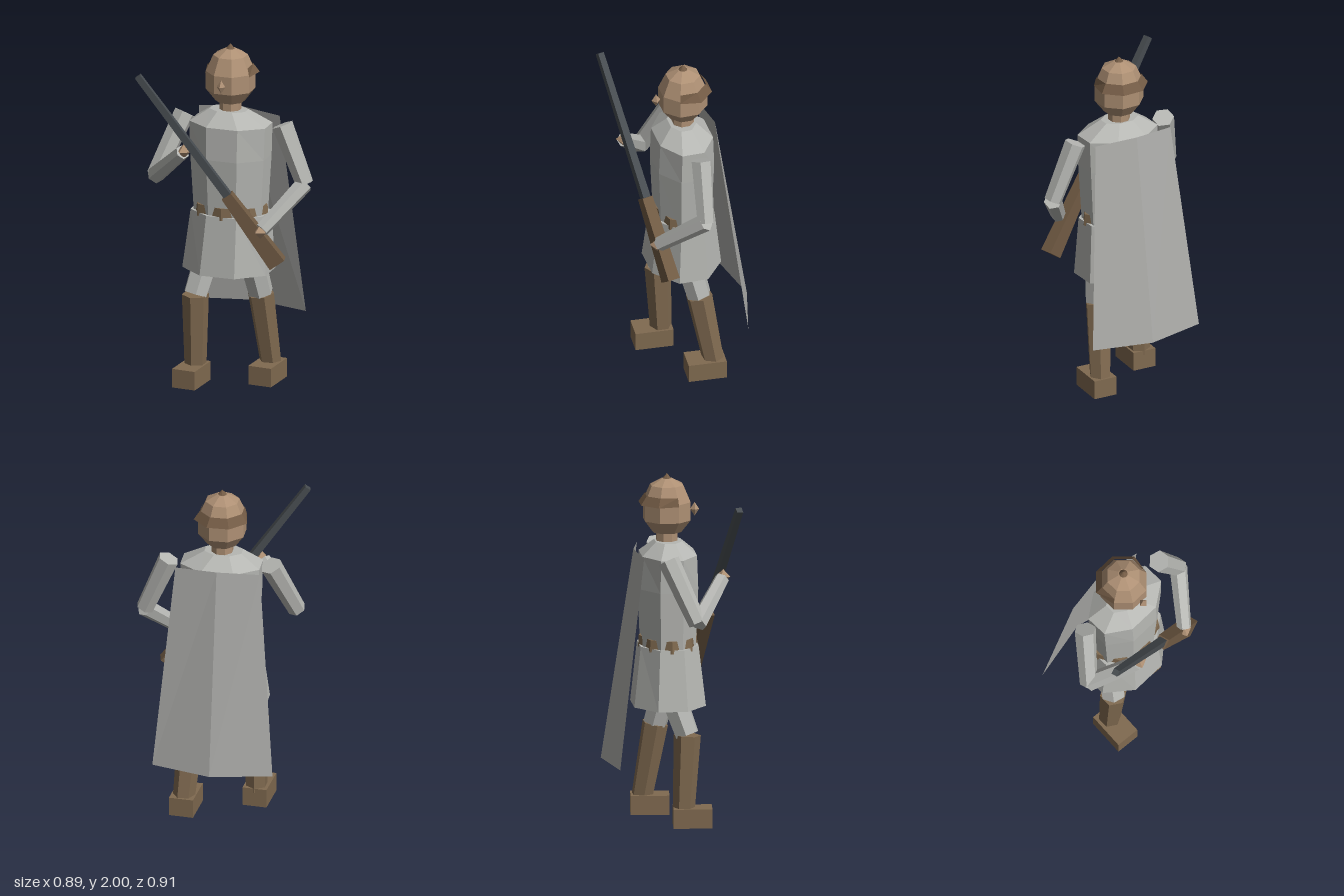
import * as THREE from 'three';

const YAW = 0.38; // the body is turned towards its own left
const V = (x, y, z) => new THREE.Vector3(x, y, z);

function material(name, color, doubleSided = false) {
  const m = new THREE.MeshStandardMaterial({ color });
  m.name = name;
  if (doubleSided) m.side = THREE.DoubleSide;
  return m;
}

// Give every face its own normal
function facet(geo) {
  const g = geo.index ? geo.toNonIndexed() : geo;
  g.computeVertexNormals();
  return g;
}

function add(parent, name, geo, mat) {
  const mesh = new THREE.Mesh(facet(geo), mat);
  mesh.name = name;
  parent.add(mesh);
  return mesh;
}

// Closed eight-sided loft through rings [y, halfWidth, halfDepth, centreX]
function loft(rings, sides = 8, turn = Math.PI / 8) {
  const pos = [], idx = [];
  const last = rings.length - 1;
  rings.forEach(([y, a, b, cx = 0]) => {
    for (let i = 0; i < sides; i++) {
      const t = turn + (i / sides) * Math.PI * 2;
      pos.push(cx + a * Math.cos(t), y, b * Math.sin(t));
    }
  });
  const base = pos.length / 3;
  pos.push(rings[0][3] || 0, rings[0][0], 0, rings[last][3] || 0, rings[last][0], 0);
  for (let i = 0; i < sides; i++) {
    const j = (i + 1) % sides;
    for (let r = 0; r < last; r++) {
      const lo = r * sides, up = lo + sides;
      idx.push(lo + i, up + i, up + j, lo + i, up + j, lo + j);
    }
    idx.push(base, i, j, base + 1, last * sides + j, last * sides + i);
  }
  const g = new THREE.BufferGeometry();
  g.setAttribute('position', new THREE.Float32BufferAttribute(pos, 3));
  g.setIndex(idx);
  return g;
}

// Tapered six-sided limb from a to b
function limb(parent, name, a, b, ra, rb, mat) {
  const dir = b.clone().sub(a);
  const mesh = add(parent, name, new THREE.CylinderGeometry(rb, ra, dir.length(), 6), mat);
  mesh.position.copy(a).add(b).multiplyScalar(0.5);
  mesh.quaternion.setFromUnitVectors(V(0, 1, 0), dir.normalize());
  return mesh;
}

// Tapered square bar from a to b
function bar(parent, name, a, b, [wa, ha], [wb, hb], mat) {
  const len = a.distanceTo(b);
  const geo = new THREE.BoxGeometry(1, 1, len);
  const p = geo.attributes.position;
  for (let i = 0; i < p.count; i++) {
    const end = p.getZ(i) > 0;
    p.setX(i, p.getX(i) * (end ? wb : wa));
    p.setY(i, p.getY(i) * (end ? hb : ha));
  }
  const mesh = add(parent, name, geo, mat);
  mesh.position.copy(a).add(b).multiplyScalar(0.5);
  mesh.lookAt(b);
  return mesh;
}

export function createModel() {
  const cloth = material('grey cloth', 0xb6b7b3);
  const capeCloth = material('cape cloth', 0xacaca9, true);
  const skin = material('skin', 0xae9074);
  const cap = material('dark brown', 0x735b45, true);
  const leather = material('boot leather', 0x806a50);
  const wood = material('stock wood', 0x705a43);
  const steel = material('gun metal', 0x474c50);

  const model = new THREE.Group();
  model.name = 'caped rifleman';

  // Torso, belt and skirt share the body's turn
  const body = new THREE.Group();
  body.name = 'body';
  body.position.set(-0.003, 0, -0.06);
  body.rotation.y = YAW;
  model.add(body);
  add(body, 'torso', loft([
    [0.98, 0.215, 0.16], [1.35, 0.238, 0.176], [1.54, 0.245, 0.168], [1.615, 0.115, 0.08, -0.012],
  ]), cloth);
  add(body, 'belt', loft([[1.0, 0.225, 0.169], [1.07, 0.22, 0.165]], 8, 0), leather);
  add(body, 'skirt', loft([[0.675, 0.27, 0.22, -0.012], [1.02, 0.235, 0.178]]), cloth);

  // Head
  const head = new THREE.Group();
  head.name = 'head';
  head.position.set(-0.01, 0, -0.064);
  head.rotation.y = YAW;
  model.add(head);
  add(head, 'neck', loft([[1.58, 0.063, 0.063], [1.69, 0.063, 0.063]]), skin);
  add(head, 'skull', loft([
    [1.665, 0.085, 0.085], [1.735, 0.14, 0.14], [1.84, 0.14, 0.14],
    [1.935, 0.098, 0.098], [1.972, 0.03, 0.03],
  ]), skin);
  const nose = add(head, 'nose', new THREE.OctahedronGeometry(1), skin);
  nose.scale.set(0.026, 0.04, 0.026);
  nose.position.set(0, 1.79, 0.158);
  add(head, 'topKnot', new THREE.ConeGeometry(0.036, 0.04, 8), cap).position.y = 1.98;

  // Brim round the back, shrinking to the skull at both ends
  const start = Math.PI * 0.375;
  const brimGeo = new THREE.CylinderGeometry(0.13, 0.166, 0.05, 5, 1, true, start, Math.PI * 1.25);
  const bp = brimGeo.attributes.position;
  for (let i = 0; i < bp.count; i++) {
    if (bp.getZ(i) > 0 && bp.getY(i) < 0) {
      bp.setX(i, bp.getX(i) * 0.86);
      bp.setZ(i, bp.getZ(i) * 0.86);
    }
  }
  add(head, 'brim', brimGeo, cap).position.y = 1.855;

  // Legs: hip, knee, ankle and shoe centre
  const legs = [
    ['right', V(-0.11, 0.95, -0.08), V(-0.138, 0.525, 0.09), V(-0.152, 0.08, 0.073), V(-0.14, 0.055, 0.122)],
    ['left', V(0.1, 0.95, -0.05), V(0.128, 0.525, -0.168), V(0.132, 0.08, -0.25), V(0.145, 0.055, -0.205)],
  ];
  for (const [side, hip, knee, ankle, shoe] of legs) {
    limb(model, side + 'Trouser', hip, knee, 0.085, 0.072, cloth);
    limb(model, side + 'Boot', knee, ankle, 0.077, 0.062, leather);
    const foot = add(model, side + 'Shoe', new THREE.BoxGeometry(0.14, 0.11, 0.22), leather);
    foot.position.copy(shoe);
    foot.rotation.y = 0.3;
  }

  // Arms: shoulder, elbow and wrist
  const arms = [
    ['right', V(-0.28, 1.555, 0.02), V(-0.338, 1.215, 0.205), V(-0.07, 1.425, 0.275)],
    ['left', V(0.265, 1.545, -0.195), V(0.4, 1.215, -0.232), V(0.318, 0.99, 0.04)],
  ];
  for (const [side, shoulder, elbow, wrist] of arms) {
    limb(model, side + 'UpperArm', shoulder, elbow, 0.062, 0.052, cloth);
    limb(model, side + 'Forearm', elbow, wrist, 0.052, 0.042, cloth);
    const hand = add(model, side + 'Hand', new THREE.OctahedronGeometry(0.042), skin);
    hand.position.copy(wrist).addScaledVector(wrist.clone().sub(elbow).normalize(), 0.015);
  }

  // Rifle held across the body
  bar(model, 'barrel', V(-0.27, 1.87, 0.43), V(0.16, 1.15, 0.12), [0.036, 0.036], [0.046, 0.046], steel);
  bar(model, 'stock', V(0.14, 1.18, 0.135), V(0.375, 0.785, -0.03), [0.064, 0.064], [0.072, 0.1], wood);

  // Cape: three columns, shoulder to hem
  const top = [V(-0.295, 1.56, -0.12), V(-0.08, 1.57, -0.24), V(0.165, 1.555, -0.285)];
  const hem = [V(-0.44, 0.365, -0.22), V(-0.14, 0.365, -0.415), V(0.212, 0.365, -0.455)];
  const capePoints = [];
  for (let i = 0; i < 2; i++) {
    capePoints.push(top[i], top[i + 1], hem[i + 1], top[i], hem[i + 1], hem[i]);
  }
  add(model, 'cape', new THREE.BufferGeometry().setFromPoints(capePoints), capeCloth);

  return model;
}
